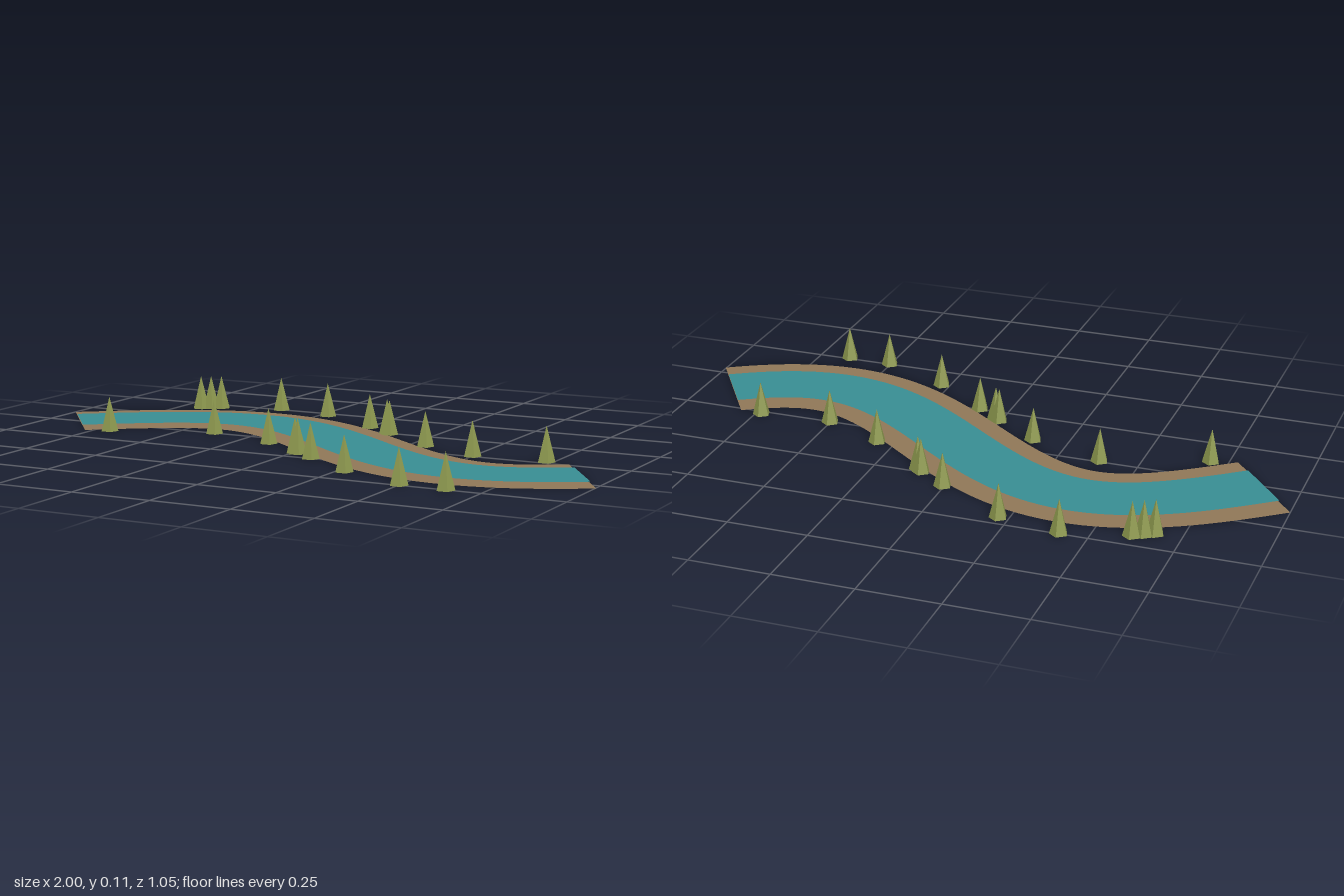
import * as THREE from 'three';

const mat = (name, color, extra = {}) =>
  Object.assign(new THREE.MeshStandardMaterial({ color, ...extra }), { name });

// Flat ribbon of constant width following the winding river course
function ribbon(halfWidth, y, segments = 64) {
  const x0 = -0.8875, x1 = 0.9035, amp = 0.249, k = 3.176, mid = 0.0985;
  const pos = [], index = [];
  for (let i = 0; i <= segments; i++) {
    const x = x0 + (x1 - x0) * i / segments;
    const z = amp * Math.sin(k * (x - mid));
    const slope = amp * k * Math.cos(k * (x - mid));
    const n = halfWidth / Math.hypot(1, slope);
    pos.push(x + slope * n, y, z - n, x - slope * n, y, z + n);
    if (i < segments) {
      const a = i * 2;
      index.push(a, a + 1, a + 2, a + 1, a + 3, a + 2);
    }
  }
  const g = new THREE.BufferGeometry();
  g.setAttribute('position', new THREE.Float32BufferAttribute(pos, 3));
  g.setIndex(index);
  g.computeVertexNormals();
  return g;
}

export function createModel() {
  const model = new THREE.Group();
  model.name = 'riverBend';
  const bankMat = mat('bankBrown', 0x8f7757, { side: THREE.DoubleSide });
  const waterMat = mat('waterTeal', 0x388d93, { side: THREE.DoubleSide });
  const reedMat = mat('reedGreen', 0x8d984e, { flatShading: true });

  const add = (name, geometry, material) => {
    const mesh = new THREE.Mesh(geometry, material);
    mesh.name = name;
    model.add(mesh);
    return mesh;
  };

  // River bed with banks, and the water surface just above it
  add('riverBank', ribbon(0.181, 0), bankMat);
  add('water', ribbon(0.109, 0.005), waterMat);

  // Five-sided reed tufts along the far and near banks, as [x, z]
  const farTufts = [[-0.671, -0.408], [-0.642, -0.425], [-0.612, -0.442], [-0.414, -0.498],
    [-0.219, -0.459], [0.005, -0.318], [0.1, -0.248], [0.115, -0.234], [0.305, -0.092],
    [0.5, -0.004], [0.73, -0.018]];
  const nearTufts = [[-0.698, 0.114], [-0.38, 0.004], [-0.142, 0.083], [0.005, 0.185],
    [0.02, 0.196], [0.092, 0.251], [0.275, 0.391], [0.5, 0.498], [0.645, 0.504]];
  const height = 0.109;
  const tuft = new THREE.ConeGeometry(0.028, height, 5).rotateY(Math.PI).translate(0, height / 2, 0);
  for (const [x, z] of [...farTufts, ...nearTufts]) add('reedTuft', tuft, reedMat).position.set(x, 0, z);

  return model;
}
